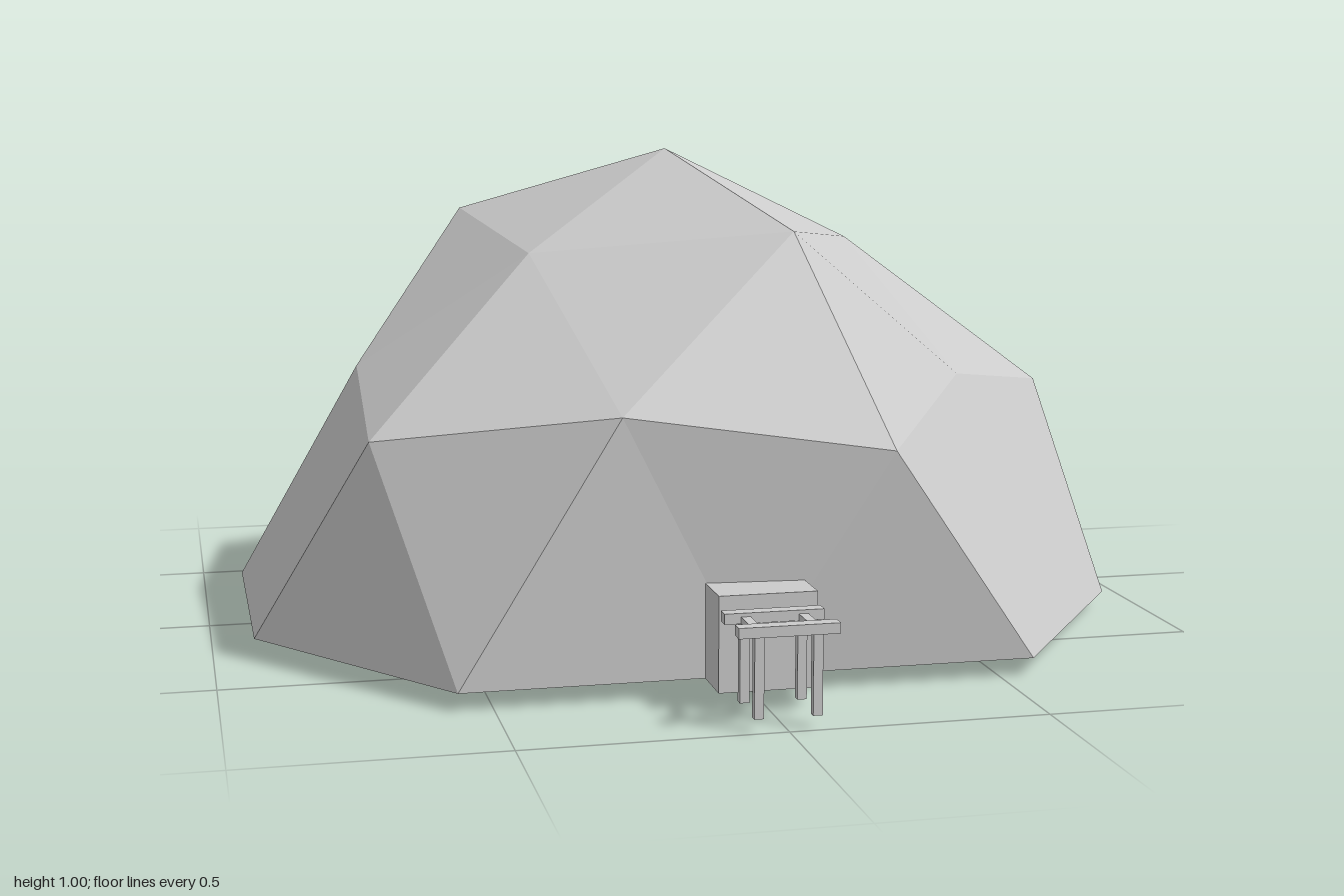
import * as THREE from 'three';

const material = new THREE.MeshStandardMaterial({ color: 0xcccccc, flatShading: true });
const R = 0.965, BASE_Y = 0.035, CENTRE_Z = -0.035;

// point on the dome sphere, from azimuth in degrees and relative height
function onSphere(deg, h) {
  const a = THREE.MathUtils.degToRad(deg), r = R * Math.sqrt(1 - h * h);
  return new THREE.Vector3(r * Math.cos(a), BASE_Y + R * h, CENTRE_Z + r * Math.sin(a));
}

// draws a vertex inwards, giving the uneven facets
function sink(p) {
  const pivot = new THREE.Vector3(0, 0.537, -0.165);
  return p.sub(pivot).multiplyScalar(0.82).add(pivot);
}

function domeRings() {
  const ring = (offset, h, sunk) => [0, 1, 2, 3, 4].map((k) => {
    const p = onSphere(72 * k + offset, h);
    return sunk.includes(k) ? sink(p) : p;
  });
  const rings = {
    top: onSphere(0, 1),
    upper: ring(0, 0.8507, [0, 2]),
    corner: ring(0, 0.4472, [3]),
    middle: ring(36, 0.5257, [0, 2, 3, 4]),
    baseA: ring(-18, 0, []),
    baseB: ring(18, 0, []),
  };
  rings.baseB[1].set(0, BASE_Y, 0.745); // flat entrance panel
  return rings;
}

function domeFaces({ top, upper, corner, middle, baseA, baseB }) {
  const faces = [];
  for (let k = 0; k < 5; k++) {
    const n = (k + 1) % 5, m = middle[k];
    faces.push(
      [top, upper[n], upper[k]], [upper[k], upper[n], m],
      [upper[k], m, corner[k]], [upper[n], corner[n], m],
      [corner[k], m, baseB[k]], [corner[n], baseA[n], m],
      [m, baseA[n], baseB[k]], [corner[k], baseB[k], baseA[k]],
    );
  }
  return faces;
}

function facesMesh(name, faces) {
  const geometry = new THREE.BufferGeometry().setFromPoints(faces.flat());
  geometry.computeVertexNormals();
  const mesh = new THREE.Mesh(geometry, material);
  mesh.name = name;
  return mesh;
}

// box given by its limits on each axis
function block(name, [x0, x1], [y0, y1], [z0, z1]) {
  const mesh = new THREE.Mesh(new THREE.BoxGeometry(x1 - x0, y1 - y0, z1 - z0), material);
  mesh.position.set((x0 + x1) / 2, (y0 + y1) / 2, (z0 + z1) / 2);
  mesh.name = name;
  return mesh;
}

function createDome() {
  const dome = new THREE.Group();
  dome.name = 'dome';
  const centre = new THREE.Vector3(0, BASE_Y, CENTRE_Z);
  const inset = (p) => p.clone().sub(centre).multiplyScalar(0.9).add(centre);
  const rings = domeRings();
  const outer = domeFaces(rings).map((face) => {
    // turn every facet outwards
    const [a, b, c] = face;
    const normal = b.clone().sub(a).cross(c.clone().sub(a));
    return normal.dot(a.clone().add(b).add(c).divideScalar(3).sub(centre)) < 0 ? [a, c, b] : face;
  });
  const inner = outer.map(([a, b, c]) => [inset(a), inset(c), inset(b)]);

  // flat underside between the outer and inner shells
  const base = rings.baseA.flatMap((p, k) => [p, rings.baseB[k]]);
  const rim = base.flatMap((a, i) => {
    const b = base[(i + 1) % base.length];
    return [[a, b, inset(b)], [a, inset(b), inset(a)]];
  }).map(([a, b, c]) => {
    const up = b.clone().sub(a).cross(c.clone().sub(a)).y > 0;
    return up ? [a, c, b] : [a, b, c];
  });
  dome.add(facesMesh('outerShell', outer), facesMesh('innerShell', inner), facesMesh('baseRim', rim));
  return dome;
}

// slatted rack standing before the entrance
function createRack() {
  const rack = new THREE.Group();
  rack.name = 'rack';
  for (const z of [0.88, 0.985]) {
    rack.add(block('slat', [-0.095, 0.095], [0.177, 0.197], [z - 0.014, z + 0.014]));
    for (const x of [-0.055, 0.055]) {
      rack.add(block('leg', [x - 0.009, x + 0.009], [0.025, 0.18], [z - 0.008, z + 0.008]));
    }
  }
  for (const x of [-0.055, 0.055]) {
    rack.add(block('rail', [x - 0.009, x + 0.009], [0.177, 0.19], [0.845, 0.985]));
  }
  return rack;
}

// posts with a light frame in the middle of the floor
function createPosts() {
  const posts = new THREE.Group();
  posts.name = 'innerPosts';
  for (const sx of [-1, 1]) {
    for (const sz of [-1, 1]) {
      const x = sx * 0.13, z = CENTRE_Z + sz * 0.13;
      posts.add(block('post', [x - 0.02, x + 0.02], [0.06, 0.5], [z - 0.02, z + 0.02]));
    }
    const x = sx * 0.13;
    posts.add(block('beam', [x - 0.02, x + 0.02], [0.47, 0.5], [CENTRE_Z - 0.11, CENTRE_Z + 0.11]));
  }
  return posts;
}

export function createModel() {
  const model = new THREE.Group();
  model.name = 'domeShelter';
  model.add(
    createDome(),
    block('floor', [-0.43, 0.43], [0, 0.06], [-0.46, 0.4]),
    block('entranceBox', [-0.095, 0.095], [0.035, 0.22], [0.63, 0.85]),
    createRack(),
    createPosts(),
  );
  return model;
}
